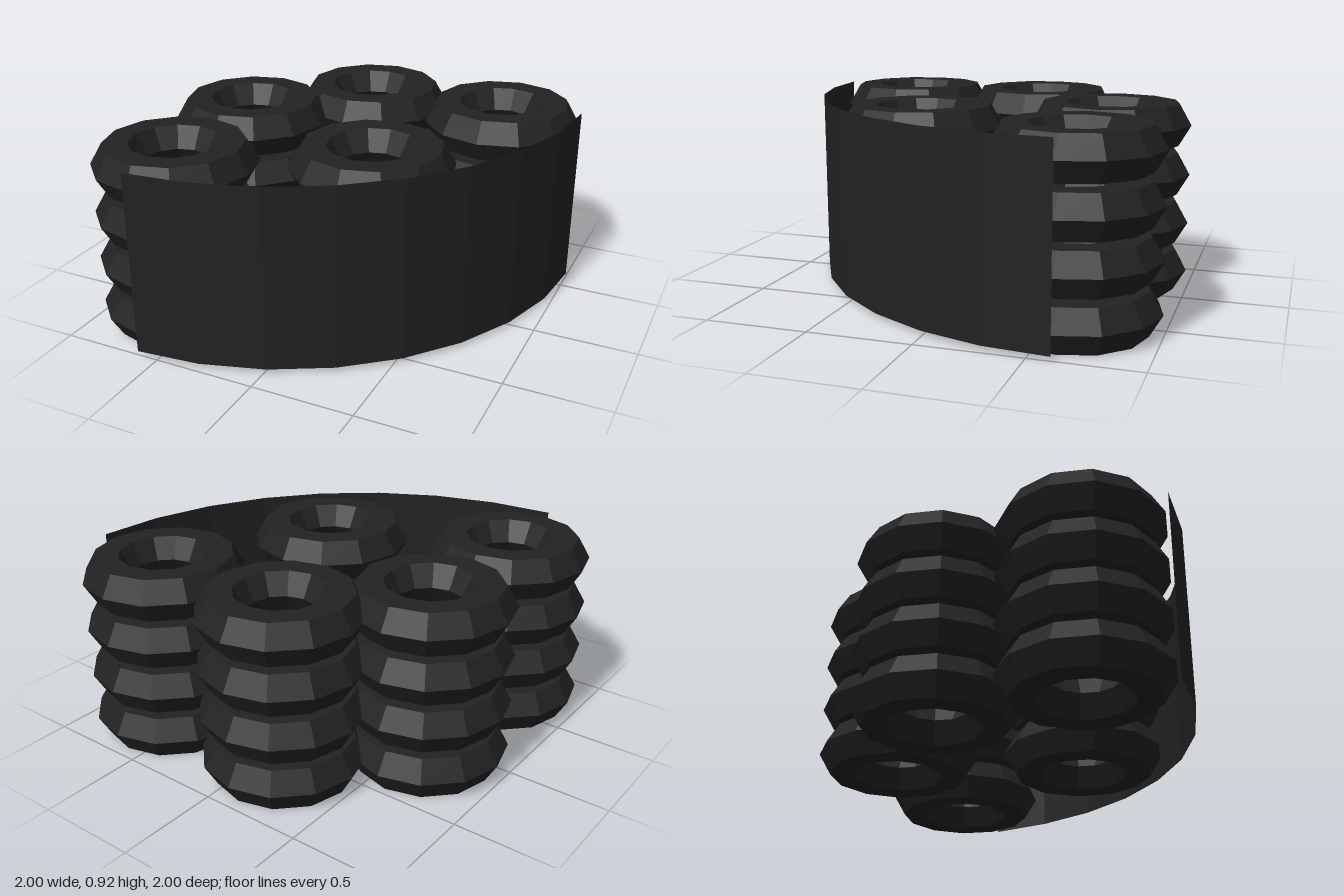
import * as THREE from 'three';

export function createModel() {
  const group = new THREE.Group();
  group.name = 'tyreBarrier';

  const rubber = new THREE.MeshStandardMaterial({ color: 0x222222, flatShading: true });
  rubber.name = 'black rubber';
  rubber.side = THREE.DoubleSide; // the belt is a thin open sheet

  // Low-poly tyre: hexagonal section, twelve sides, lying flat
  const tyreGeometry = new THREE.TorusGeometry(0.275, 0.118, 6, 12).rotateX(Math.PI / 2);

  // Five stacks of four tyres along a quarter arc
  const stacks = [[-0.605, 0.59], [-0.605, -0.13], [-0.13, -0.605], [0.59, -0.605], [0.24, 0.24]];
  stacks.forEach(([x, z], s) => {
    const stack = new THREE.Group();
    stack.name = `tyreStack${s + 1}`;
    stack.position.set(x, 0, z);
    for (let i = 0; i < 4; i++) {
      const tyre = new THREE.Mesh(tyreGeometry, rubber);
      tyre.name = `tyre${i + 1}`;
      tyre.position.y = 0.103 + i * 0.24;
      stack.add(tyre);
    }
    group.add(stack);
  });

  // Curved belt wrapped round the outer side of the stacks
  const belt = new THREE.Mesh(
    new THREE.CylinderGeometry(1.605, 1.605, 0.9, 8, 1, true, 0, Math.PI / 2), rubber);
  belt.name = 'belt';
  belt.position.set(-0.605, 0.47, -0.605);
  group.add(belt);

  return group;
}
